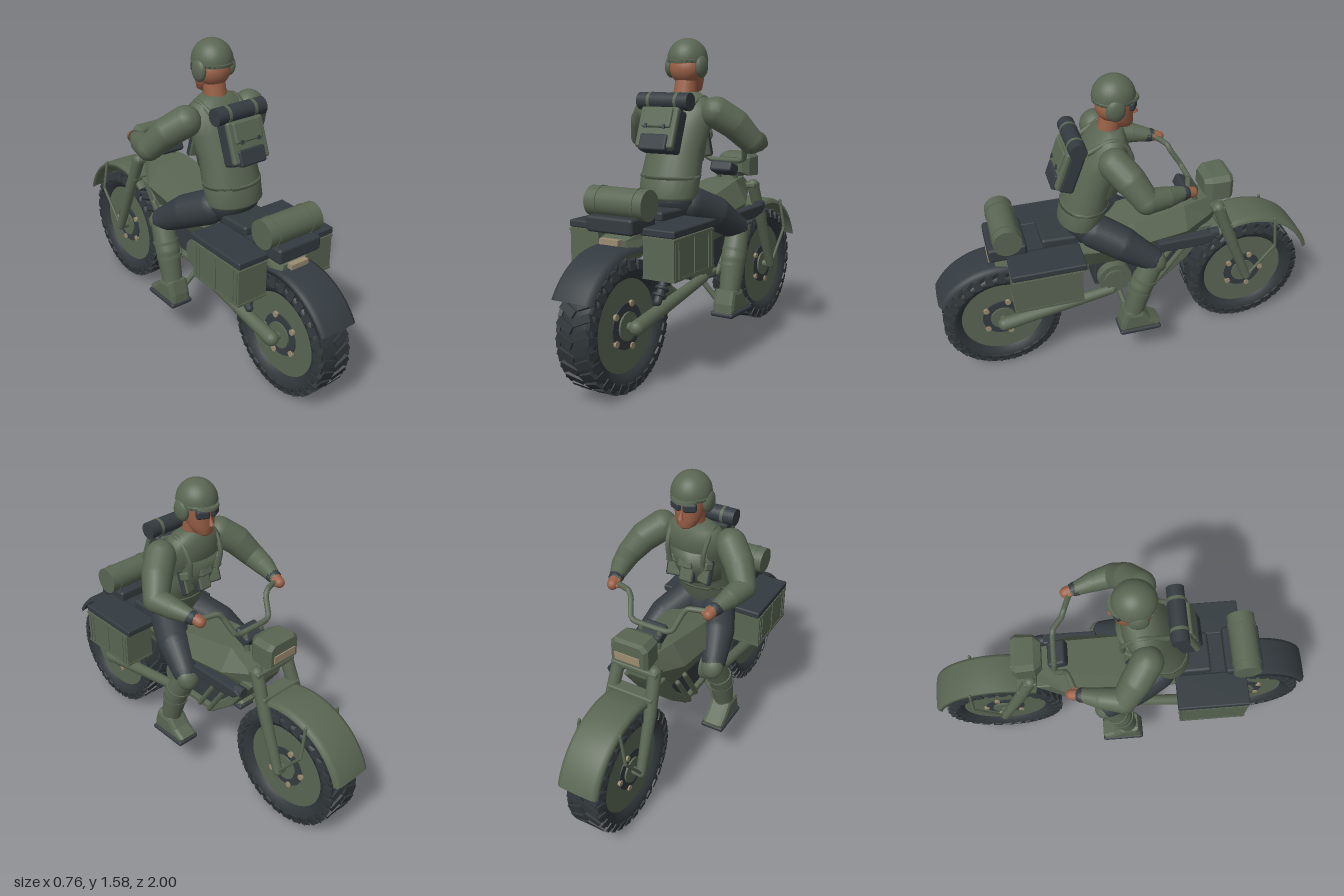
import * as THREE from 'three';
import { mergeGeometries } from 'three/addons/utils/BufferGeometryUtils.js';
import { RoundedBoxGeometry } from 'three/addons/geometries/RoundedBoxGeometry.js';

const paint = (name, color) => { const m = new THREE.MeshStandardMaterial({ color }); m.name = name; return m; };
const green = paint('olive green', 0x5a6653), dark = paint('dark slate', 0x343b40), rubber = paint('tyre rubber', 0x30363a);
const skin = paint('skin', 0x9a6047), tan = paint('tan', 0x9a8c70);
const V = (p) => new THREE.Vector3(...p);

function add(parent, name, geo, mat, pos = [0, 0, 0], rot = [0, 0, 0]) {
  const m = new THREE.Mesh(geo, mat);
  m.name = name; m.position.set(...pos); m.rotation.set(...rot);
  parent.add(m);
  return m;
}
const box = (w, h, d) => new THREE.BoxGeometry(w, h, d);
const soft = (w, h, d, r = 0.015) => new RoundedBoxGeometry(w, h, d, 2, r);
const barrel = (r, len, n = 24) => new THREE.CylinderGeometry(r, r, len, n).rotateZ(Math.PI / 2);

// Tapered round limb through several joints
function limb(parent, name, mat, pts, radii, n = 14) {
  const parts = [];
  pts.forEach((p, i) => {
    parts.push(new THREE.SphereGeometry(radii[i], n, 10).translate(...p));
    if (!i) return;
    const a = V(pts[i - 1]), b = V(p), d = b.clone().sub(a);
    const g = new THREE.CylinderGeometry(radii[i], radii[i - 1], d.length(), n, 1, true);
    g.applyQuaternion(new THREE.Quaternion().setFromUnitVectors(V([0, 1, 0]), d.normalize()));
    parts.push(g.translate(...a.add(b).multiplyScalar(0.5).toArray()));
  });
  return add(parent, name, mergeGeometries(parts), mat);
}

// Skin over a list of rings, capped at both ends
function loft(rings, flat) {
  const n = rings[0].length, pos = rings.flat(2), idx = [];
  for (let i = 0; i < rings.length - 1; i++) for (let j = 0; j < n; j++) {
    const a = i * n + j, b = i * n + (j + 1) % n;
    idx.push(a, b, b + n, a, b + n, a + n);
  }
  const t = (rings.length - 1) * n;
  for (let j = 1; j < n - 1; j++) idx.push(0, j + 1, j, t, t + j, t + j + 1);
  let g = new THREE.BufferGeometry();
  g.setAttribute('position', new THREE.Float32BufferAttribute(pos, 3));
  g.setIndex(idx);
  if (flat) g = g.toNonIndexed();
  g.computeVertexNormals();
  return g;
}
const ovals = (list, n = 24) => loft(list.map(([y, z, rx, rz]) => Array.from({ length: n }, (_, i) => {
  const a = i / n * Math.PI * 2;
  return [rx * Math.cos(a), y, z - rz * Math.sin(a)];
})));

// Side profile given as (z, y), extruded across x
function sideExtrude(profile, width, bevel = 0.008) {
  const shape = new THREE.Shape(profile.map(([z, y]) => new THREE.Vector2(z, y))), w = width - 2 * bevel;
  return new THREE.ExtrudeGeometry(shape, { depth: w, bevelSize: bevel, bevelThickness: bevel, bevelOffset: -bevel, bevelSegments: 2 })
    .translate(0, 0, -w / 2).rotateY(-Math.PI / 2);
}
// Shell with rolled edges, swept round the wheel; angles rise from +z towards +y
function fender(r, from, to, w) {
  const k = Math.PI / 180, outer = [[r - 0.03, -w], [r - 0.01, -w + 0.006], [r - 0.002, -w + 0.025], [r, 0], [r - 0.002, w - 0.025], [r - 0.01, w - 0.006], [r - 0.03, w]];
  const inner = [[r - 0.022, w - 0.022], [r - 0.015, 0], [r - 0.022, -w + 0.022], outer[0]];
  return new THREE.LatheGeometry([...outer, ...inner].map(([a, b]) => new THREE.Vector2(a, b)), 30, from * k, (to - from) * k).rotateZ(Math.PI / 2);
}

function wheel(parent, name, z, R) {
  const g = new THREE.Group();
  g.name = name; g.position.set(0, R, z); parent.add(g);
  const profile = [[0.68, -0.056], [0.75, -0.08], [0.85, -0.091], [0.92, -0.086], [0.955, -0.055], [0.96, 0]];
  const pts = [...profile, ...profile.slice(0, -1).reverse().map(([r, x]) => [r, -x])];
  add(g, 'tyre', new THREE.LatheGeometry(pts.map(([r, x]) => new THREE.Vector2(r * R, x)), 56).rotateZ(Math.PI / 2), rubber);
  // Chevron tread blocks, with a shoulder block at each end
  const lugs = [], count = 28;
  for (let i = 0; i < count; i++) for (const s of [-1, 1]) {
    const a = (i + (s > 0 ? 0.5 : 0)) / count * Math.PI * 2;
    lugs.push(box(0.085, 0.022, 0.036).rotateY(s * 0.42).translate(s * 0.042, R - 0.0125, 0).rotateX(a));
    lugs.push(box(0.018, 0.044, 0.037).rotateZ(s * 0.25).translate(s * 0.084, R - 0.031, 0.02).rotateX(a));
  }
  add(g, 'tread', mergeGeometries(lugs), rubber);
  add(g, 'rimDisc', barrel(R * 0.7, 0.126, 48), green);
  add(g, 'hubRing', barrel(0.106, 0.138, 32), dark);
  add(g, 'hub', barrel(0.066, 0.156), green);
  add(g, 'axle', barrel(0.02, 0.26), green);
  for (let i = 0; i < 5; i++) {
    const a = i / 5 * Math.PI * 2;
    add(g, 'wheelBolt', barrel(0.015, 0.152, 10), tan, [0, 0.103 * Math.sin(a), -0.103 * Math.cos(a)]);
  }
}

function motorcycle(root) {
  const b = new THREE.Group(); b.name = 'motorcycle'; root.add(b);
  wheel(b, 'rearWheel', 0.69, 0.305);
  wheel(b, 'frontWheel', -0.64, 0.318);
  add(b, 'rearFender', fender(0.36, 29, 112, 0.106), dark, [0, 0.305, 0.69]);
  add(b, 'frontFender', fender(0.378, 57, 161, 0.108), green, [0, 0.322, -0.64]);

  // Faceted tank: z, bottom, middle, top, then half widths of bottom, middle, top
  const tank = [[-0.46, 0.74, 0.79, 0.83, 0.05, 0.07, 0.05], [-0.41, 0.66, 0.76, 0.85, 0.06, 0.09, 0.06],
    [-0.27, 0.58, 0.73, 0.845, 0.08, 0.155, 0.09], [0, 0.56, 0.7, 0.8, 0.09, 0.165, 0.11],
    [0.2, 0.56, 0.68, 0.76, 0.08, 0.14, 0.1], [0.5, 0.6, 0.68, 0.735, 0.08, 0.1, 0.09], [0.7, 0.61, 0.64, 0.69, 0.07, 0.09, 0.07]];
  add(b, 'tankAndTail', loft(tank.map(([z, y0, y1, y2, w0, w1, w2]) =>
    [[w0, y0, z], [w1, y1, z], [w2, y2, z], [-w2, y2, z], [-w1, y1, z], [-w0, y0, z]]), true), green);
  // Engine and frame
  add(b, 'engineBlock', sideExtrude([[0.2, 0.6], [0.2, 0.42], [0.1, 0.38], [-0.13, 0.38], [-0.26, 0.5], [-0.32, 0.64]], 0.15), dark);
  add(b, 'downPlate', sideExtrude([[0.06, 0.38], [-0.15, 0.38], [-0.29, 0.5], [-0.43, 0.7], [-0.36, 0.7], [-0.25, 0.53], [-0.13, 0.41], [0.06, 0.41]], 0.2), green);
  add(b, 'skidPlate', box(0.17, 0.012, 0.22), dark, [0, 0.376, -0.035]);
  add(b, 'gearCase', barrel(0.088, 0.24, 28), green, [0, 0.47, 0.1]);
  add(b, 'gearCaseCap', barrel(0.06, 0.265, 28), green, [0, 0.47, 0.1]);
  add(b, 'seat', soft(0.21, 0.05, 0.36), dark, [0, 0.755, 0.285], [-0.04, 0, 0]);
  add(b, 'seatBase', box(0.21, 0.03, 0.3), dark, [0, 0.729, 0.45]);
  add(b, 'tailBox', soft(0.25, 0.075, 0.19), dark, [0, 0.757, 0.635]);
  add(b, 'bedroll', barrel(0.07, 0.31, 28), green, [0, 0.845, 0.635]);
  for (const x of [-0.1, 0.1]) add(b, 'bedrollStrap', barrel(0.073, 0.015, 28), green, [x, 0.845, 0.635]);
  add(b, 'tailLight', box(0.1, 0.025, 0.03), tan, [0, 0.683, 0.715]);
  add(b, 'sideScabbard', sideExtrude([[-0.1, 0.65], [-0.11, 0.705], [-0.4, 0.71], [-0.43, 0.695], [-0.39, 0.66], [-0.3, 0.645]], 0.055), dark, [0.163, 0, 0]);
  add(b, 'scabbardCap', new THREE.CylinderGeometry(0.025, 0.025, 0.05, 14).rotateX(Math.PI / 2), dark, [0.16, 0.7, -0.41]);

  for (const s of [-1, 1]) {
    limb(b, 'frontFork', green, [[s * 0.098, 0.8, -0.455], [s * 0.112, 0.6, -0.53], [s * 0.12, 0.32, -0.64]], [0.033, 0.031, 0.024]);
    limb(b, 'fenderStay', green, [[s * 0.11, 0.67, -0.78], [s * 0.135, 0.51, -0.785], [s * 0.125, 0.33, -0.65]], [0.008, 0.008, 0.008], 8);
    limb(b, 'swingArm', green, [[s * 0.12, 0.405, 0.12], [s * 0.12, 0.305, 0.69]], [0.026, 0.036]);
    limb(b, 'shockAbsorber', dark, [[s * 0.115, 0.38, 0.52], [s * 0.11, 0.58, 0.38]], [0.02, 0.02]);
    for (let i = 0; i < 5; i++) add(b, 'shockCoil', new THREE.TorusGeometry(0.026, 0.009, 6, 16), dark,
      [s * 0.114, 0.405 + i * 0.028, 0.502 - i * 0.02], [Math.PI / 2 - 0.61, 0, 0]);
    for (const z of [-0.06, -0.13]) limb(b, 'frameTube', green, [[s * 0.1, 0.39, z], [s * 0.12, 0.62, z - 0.15]], [0.014, 0.014], 8);
    limb(b, 'footPeg', green, [[s * 0.08, 0.39, 0.08], [s * 0.2, 0.235, 0.04], [s * 0.27, 0.22, 0.03]], [0.014, 0.013, 0.01], 8);
    // Panniers
    add(b, 'pannier', box(0.162, 0.19, 0.338), green, [s * 0.203, 0.613, 0.472]);
    add(b, 'pannierLid', soft(0.18, 0.035, 0.365, 0.008), dark, [s * 0.197, 0.728, 0.463]);
    for (const z of [0.32, 0.345, 0.47, 0.6, 0.625]) add(b, 'pannierRib', box(0.008, 0.17, 0.012), green, [s * 0.284, 0.613, z]);
    for (const y of [0.524, 0.7]) add(b, 'pannierRail', box(0.166, 0.012, 0.345), green, [s * 0.204, y, 0.472]);
  }
  for (const y of [0.8, 0.68]) add(b, 'forkClamp', soft(0.25, 0.03, 0.07, 0.01), green, [0, y, -0.455 - (0.8 - y) * 0.38]);
  // Handlebar, instrument box and headlight
  const half = [[0.285, 1.052, -0.21], [0.165, 1.06, -0.255], [0.14, 1.03, -0.27], [0.115, 0.96, -0.315], [0.08, 0.945, -0.322]];
  const bar = new THREE.CatmullRomCurve3([...half, ...half.slice().reverse().map(([x, y, z]) => [-x, y, z])].map(V), false, 'catmullrom', 0.2);
  add(b, 'handlebar', new THREE.TubeGeometry(bar, 56, 0.014, 8), green);
  for (const s of [-1, 1]) limb(b, 'barRiser', green, [[s * 0.05, 0.83, -0.345], [s * 0.05, 0.945, -0.322]], [0.014, 0.014], 8);
  add(b, 'instruments', soft(0.13, 0.06, 0.095), dark, [0, 0.903, -0.305], [-0.4, 0, 0]);
  const lamp = [[-0.53, 0.055, 0.085], [-0.51, 0.065, 0.1], [-0.42, 0.06, 0.095], [-0.385, 0.04, 0.065]];
  add(b, 'headlight', loft(lamp.map(([z, h, w]) => [[w, -h, z], [w, h * 0.6, z], [w * 0.75, h, z], [-w * 0.75, h, z], [-w, h * 0.6, z], [-w, -h, z]]), true), green, [0, 0.915, 0]);
  add(b, 'headlightLens', box(0.135, 0.04, 0.008), tan, [0, 0.895, -0.532]);
  add(b, 'headlightMount', box(0.06, 0.1, 0.06), green, [0, 0.825, -0.44]);
}

function rider(root) {
  const r = new THREE.Group(); r.name = 'rider'; root.add(r);
  add(r, 'jacket', ovals([[0.815, 0.25, 0.14, 0.1], [0.83, 0.25, 0.152, 0.112], [0.92, 0.225, 0.155, 0.118], [1.05, 0.18, 0.145, 0.115],
    [1.16, 0.135, 0.165, 0.125], [1.24, 0.11, 0.17, 0.105], [1.29, 0.1, 0.13, 0.08], [1.32, 0.09, 0.07, 0.055]]), green);
  add(r, 'belt', ovals([[0.915, 0.228, 0.157, 0.12], [0.93, 0.222, 0.157, 0.12]]), green);
  add(r, 'hips', ovals([[0.74, 0.22, 0.13, 0.1], [0.8, 0.23, 0.148, 0.105], [0.84, 0.245, 0.14, 0.1]]), dark);
  // Chest rig
  add(r, 'vest', ovals([[0.99, 0.175, 0.135, 0.13], [1.08, 0.145, 0.135, 0.13], [1.18, 0.11, 0.13, 0.125]]), green);
  for (const x of [-0.085, 0, 0.085]) {
    const z = 0.035 + Math.abs(x) * 0.3, turn = [0.3, x * 4, 0];
    add(r, 'pouchBacking', soft(0.082, 0.135, 0.03, 0.01), dark, [x, 1.07, z + 0.002], turn);
    add(r, 'pouch', soft(0.07, 0.115, 0.045, 0.01), green, [x, 1.065, z], turn);
    add(r, 'pouchFlap', soft(0.074, 0.04, 0.05, 0.008), green, [x, 1.11, z - 0.014], turn);
  }
  for (const s of [-1, 1]) {
    const strap = new THREE.CatmullRomCurve3([[s * 0.09, 1.1, 0.02], [s * 0.1, 1.2, 0.01], [s * 0.105, 1.295, 0.09], [s * 0.09, 1.24, 0.22]].map(V));
    add(r, 'shoulderStrap', new THREE.TubeGeometry(strap, 20, 0.013, 6), green);
    // Arms
    limb(r, 'upperArm', green, [[s * 0.19, 1.225, 0.115], [s * 0.26, 1.17, 0.06], [s * 0.32, 1.085, 0]], [0.077, 0.075, 0.062], 18);
    limb(r, 'forearm', green, [[s * 0.32, 1.085, 0], [s * 0.3, 1.075, -0.1], [s * 0.27, 1.062, -0.2]], [0.062, 0.052, 0.033], 18);
    limb(r, 'cuff', dark, [[s * 0.276, 1.063, -0.18], [s * 0.272, 1.062, -0.198]], [0.037, 0.035]);
    limb(r, 'hand', skin, [[s * 0.268, 1.06, -0.215], [s * 0.262, 1.052, -0.242]], [0.028, 0.027]);
    limb(r, 'thumb', skin, [[s * 0.245, 1.065, -0.215], [s * 0.235, 1.05, -0.24]], [0.012, 0.011], 8);
    // Legs
    limb(r, 'thigh', dark, [[s * 0.092, 0.783, 0.19], [s * 0.155, 0.727, 0.07], [s * 0.205, 0.638, -0.067]], [0.09, 0.086, 0.062], 18);
    limb(r, 'shin', green, [[s * 0.208, 0.62, -0.075], [s * 0.22, 0.49, -0.01], [s * 0.222, 0.31, 0.035]], [0.058, 0.062, 0.05], 18);
    add(r, 'kneePad', new THREE.SphereGeometry(0.062, 18, 12).scale(0.95, 1.05, 0.8), green, [s * 0.21, 0.625, -0.09], [0.4, 0, 0]);
    for (const [y, z] of [[0.53, -0.03], [0.46, 0]]) add(r, 'legStrap', new THREE.CylinderGeometry(0.065, 0.065, 0.014, 20), green, [s * 0.218, y, z], [-0.3, 0, 0]);
    add(r, 'boot', sideExtrude([[0.11, 0.23], [-0.1, 0.23], [-0.105, 0.255], [-0.05, 0.29], [-0.01, 0.34], [0.085, 0.35], [0.105, 0.28]], 0.115, 0.022), green, [s * 0.22, 0, 0]);
    add(r, 'bootSole', soft(0.126, 0.026, 0.22, 0.012), dark, [s * 0.22, 0.226, 0.005]);
    add(r, 'earMuff', new THREE.SphereGeometry(0.05, 20, 12).scale(0.5, 1.1, 0.95), green, [s * 0.086, 1.442, 0.08]);
  }
  // Backpack and roll, leaning with the spine
  const pack = new THREE.Group(); pack.name = 'backpack';
  pack.position.set(0, 1.145, 0.31); pack.rotation.x = -0.35; r.add(pack);
  add(pack, 'packFrame', soft(0.2, 0.21, 0.075), dark, [0, 0, -0.015]);
  add(pack, 'packBody', soft(0.208, 0.2, 0.03, 0.012), green, [0, 0.005, 0.03]);
  add(pack, 'packFlap', soft(0.16, 0.1, 0.03, 0.01), green, [0, 0.05, 0.042]);
  add(pack, 'packPocket', soft(0.15, 0.08, 0.035, 0.01), dark, [0, -0.07, 0.038]);
  for (const x of [-0.05, 0.05]) add(pack, 'buckle', box(0.014, 0.02, 0.008), dark, [x, 0.005, 0.058]);
  add(r, 'packRoll', barrel(0.042, 0.28), dark, [0, 1.28, 0.27]);
  for (const x of [-0.075, 0.075]) add(r, 'rollStrap', barrel(0.044, 0.016), green, [x, 1.28, 0.27]);
  // Head
  limb(r, 'neck', skin, [[0, 1.28, 0.1], [0, 1.4, 0.075]], [0.056, 0.055]);
  add(r, 'head', ovals([[1.315, 0.015, 0.025, 0.025], [1.33, 0.025, 0.048, 0.048], [1.37, 0.045, 0.066, 0.069], [1.43, 0.062, 0.078, 0.088], [1.5, 0.065, 0.08, 0.092], [1.54, 0.065, 0.06, 0.07]]), skin);
  add(r, 'nose', new THREE.ConeGeometry(0.014, 0.05, 8), skin, [0, 1.4, -0.03], [0.25, 0, 0]);
  add(r, 'headBack', new THREE.SphereGeometry(0.084, 20, 14).scale(0.97, 0.9, 0.85), skin, [0, 1.43, 0.085]);
  add(r, 'helmet', new THREE.SphereGeometry(0.1, 28, 14, 0, Math.PI * 2, 0, Math.PI * 0.56).scale(0.98, 1.02, 1.04), green, [0, 1.478, 0.068]);
  add(r, 'helmetRim', ovals([[1.462, 0.068, 0.097, 0.102], [1.478, 0.068, 0.1, 0.105]]), green);
  add(r, 'brim', new THREE.CylinderGeometry(0.07, 0.074, 0.012, 24), green, [0, 1.473, 0.02], [-0.12, 0, 0]);
  for (const s of [-1, 1]) add(r, 'goggleLens', soft(0.066, 0.044, 0.04, 0.012), dark, [s * 0.034, 1.436, -0.01], [0, -s * 0.5, 0]);
}

export function createModel() {
  const root = new THREE.Group();
  root.name = 'motorcycleAndRider';
  motorcycle(root);
  rider(root);
  return root;
}
